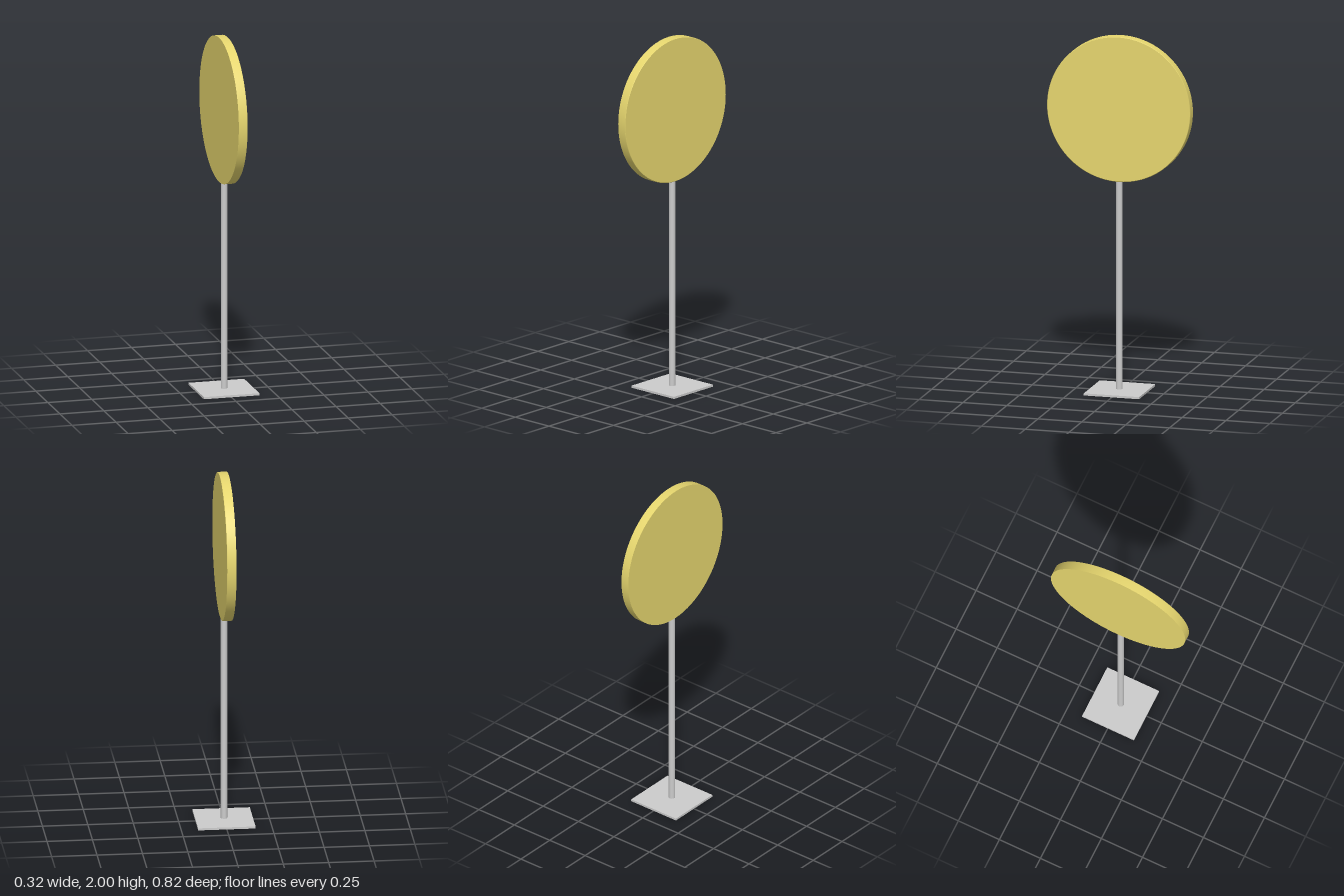
import * as THREE from 'three';

export function createModel() {
  const model = new THREE.Group();
  const grey = new THREE.MeshStandardMaterial({ color: 0xcccccc });
  const yellow = new THREE.MeshStandardMaterial({ color: 0xe6d66e });

  const add = (name, geometry, material, x, y, z) => {
    const mesh = new THREE.Mesh(geometry, material);
    mesh.name = name;
    mesh.position.set(x, y, z);
    model.add(mesh);
    return mesh;
  };

  // Thin square foot plate
  add('basePlate', new THREE.BoxGeometry(0.316, 0.012, 0.316), grey, 0, 0.006, 0.002);

  // Slim round post, ending just inside the rim of the disc
  const postTop = 1.195;
  add('post', new THREE.CylinderGeometry(0.018, 0.018, postTop, 20), grey, 0, postTop / 2, 0.003);

  // Round sign disc with a fine bevel on one face; doubled points keep edges crisp
  const radius = 0.409, half = 0.0255, bevel = 0.003;
  const profile = [
    [0, -half], [radius, -half], [radius, -half],
    [radius, half - bevel], [radius - bevel, half], [radius - bevel, half], [0, half],
  ].map(([r, h]) => new THREE.Vector2(r, h));
  const disc = add('signDisc', new THREE.LatheGeometry(profile, 96), yellow, -0.002, 2 - radius, 0);
  disc.rotation.z = -Math.PI / 2;

  return model;
}
